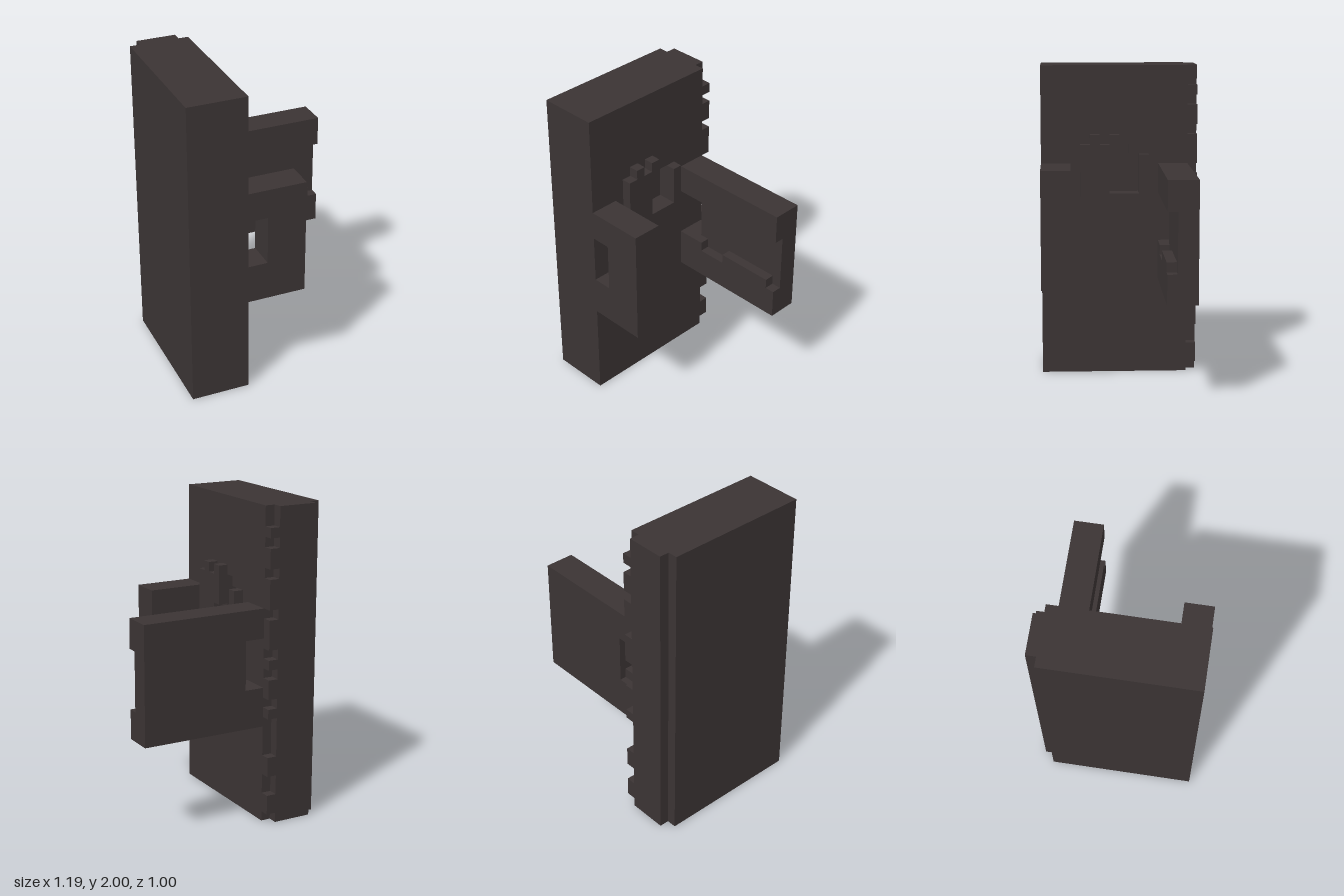
import * as THREE from 'three';

const U = 1 / 16; // block unit
const X0 = -3.5; // block x of the panel's left face

export function createModel() {
  const model = new THREE.Group();
  const charcoal = new THREE.MeshStandardMaterial({ color: 0x3b3434 });
  charcoal.name = 'charcoal';

  const add = (name, geometry) => {
    const mesh = new THREE.Mesh(geometry.scale(U, U, U), charcoal);
    mesh.name = name;
    model.add(mesh);
  };
  // Box from block limits, x counted from the panel's left face
  const box = (name, x0, x1, y0, y1, z0, z1) => add(name,
    new THREE.BoxGeometry(x1 - x0, y1 - y0, z1 - z0)
      .translate(X0 + (x0 + x1) / 2, (y0 + y1) / 2, (z0 + z1) / 2));
  const points = (list) => list.map(([x, y]) => new THREE.Vector2(x, y));
  const slab = (outline, depth, hole) => {
    const shape = new THREE.Shape(points(outline));
    if (hole) shape.holes.push(new THREE.Path(points(hole)));
    return new THREE.ExtrudeGeometry(shape, { depth, bevelEnabled: false });
  };
  // Plate facing +z, outline in (x, y)
  const frontPlate = (name, outline, z0, z1) =>
    add(name, slab(outline, z1 - z0).translate(X0, 0, z0));
  // Plate facing +x, outline in (-z, y)
  const sidePlate = (name, outline, x0, x1, hole) =>
    add(name, slab(outline, x1 - x0, hole).rotateY(Math.PI / 2).translate(X0 + x0, 0, 0));

  // Tall panel with a shallow recess behind the emblem
  box('panelCore', -6, -1, 0, 32, -7, 8);
  sidePlate('panelFace', [[-8, 0], [7, 0], [7, 32], [-8, 32]], -1, 0,
    [[-1, 19], [2, 19], [2, 23], [1, 23], [1, 24], [0, 24], [0, 20], [-1, 20]]);

  // Back spine with uneven teeth
  box('backSpine', -5, -1, 0, 32, -8, -7);
  const teeth = [[1, 3], [5, 7], [11, 12], [13, 15], [16, 17], [18, 21], [22, 25], [26, 28], [29, 30]];
  for (const [y0, y1] of teeth) box('spineTooth', -1, 0, y0, y1, -8, -7);

  // Raised hand-like emblem on the side of the panel
  sidePlate('emblem', [
    [-4, 18], [3, 18], [3, 23], [2, 23], [2, 19], [-1, 19], [-1, 21], [0, 21], [0, 25],
    [-1, 25], [-1, 24], [-2, 24], [-2, 25], [-3, 25], [-3, 24], [-4, 24],
  ], 0, 1);

  // Arms with a slot against the panel
  const arm = (length) => [
    [0, 10], [length, 10], [length, 22], [0, 22], [0, 19], [2, 19], [2, 14], [0, 14],
  ];
  frontPlate('frontArm', arm(6), 5, 8);
  frontPlate('backArm', arm(13), -7, -5);

  // Raised upper and lower rims on the back arm
  box('upperRim', 0, 13, 19, 22, -5, -4);
  frontPlate('lowerRim', [
    [0, 10], [13, 10], [13, 13], [12, 13], [12, 14], [6, 14], [6, 13], [3, 13], [3, 14], [0, 14],
  ], -5, -4);

  return model;
}
